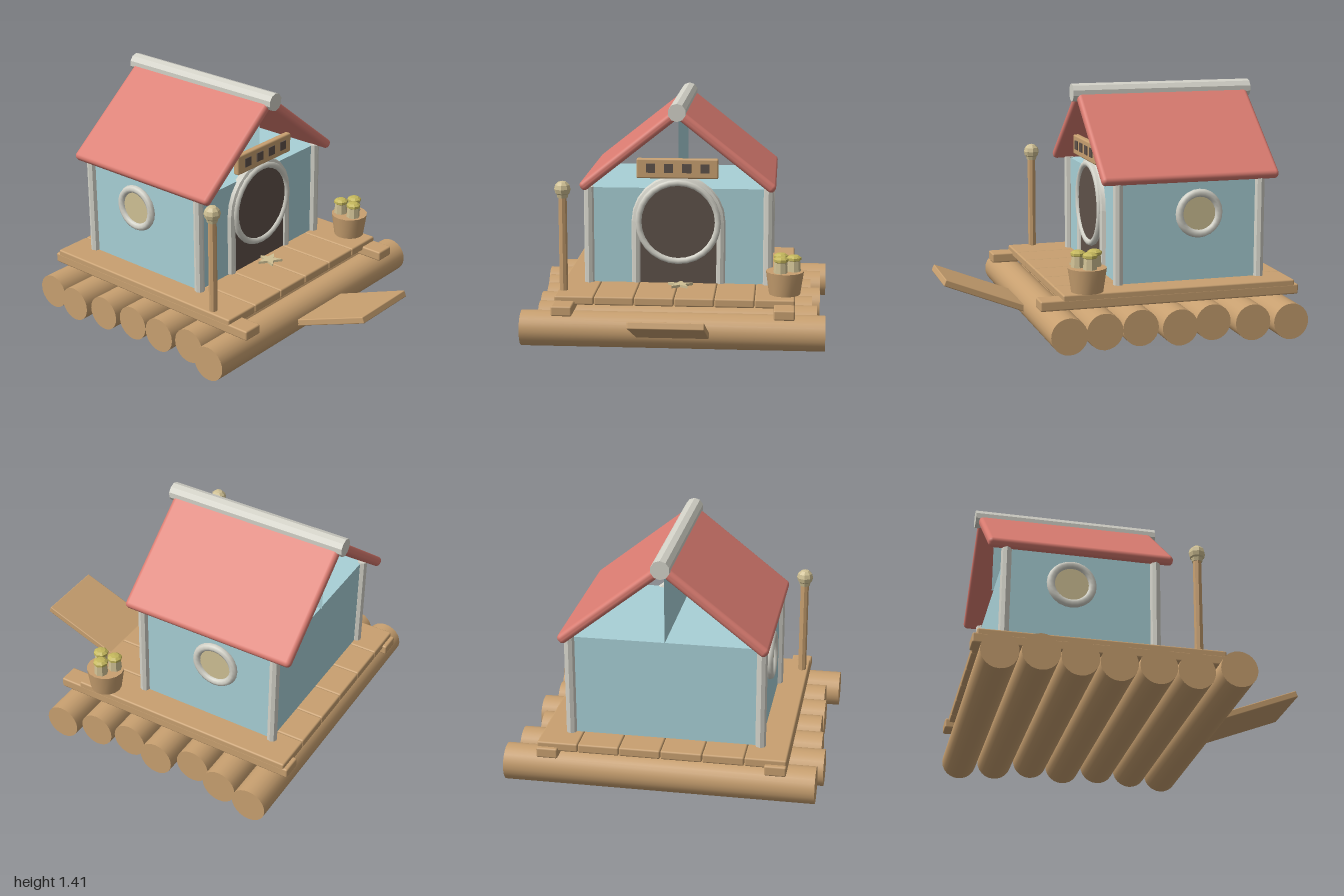
import * as THREE from 'three';
import { toCreasedNormals } from 'three/addons/utils/BufferGeometryUtils.js';
import { RoundedBoxGeometry } from 'three/addons/geometries/RoundedBoxGeometry.js';

export function createModel() {
  const root = new THREE.Group();
  root.name = 'raftHouse';

  const mat = (name, color, extra = {}) => {
    const m = new THREE.MeshStandardMaterial({ color, ...extra });
    m.name = name;
    return m;
  };
  const wood = mat('wood', 0xc8a070);
  const wall = mat('wallBlue', 0xa8d0d6);
  const gable = mat('gableBlue', 0xa8d0d6, { side: THREE.DoubleSide });
  const red = mat('roofRed', 0xd97b70);
  const trim = mat('trimGrey', 0xd3d2c8);
  const dark = mat('doorBrown', 0x5e5149);
  const cream = mat('cream', 0xcfc094);
  const yellow = mat('flowerYellow', 0xc4b75c);

  const add = (name, geo, material, x, y, z, parent = root) => {
    const m = new THREE.Mesh(geo, material);
    m.name = name;
    m.position.set(x, y, z);
    parent.add(m);
    return m;
  };
  const facet = (geo) => toCreasedNormals(geo, 0.3);
  const rbox = (w, h, d, r = 0.01) => new RoundedBoxGeometry(w, h, d, 2, r);
  const cyl = (rt, rb, h, n) => toCreasedNormals(new THREE.CylinderGeometry(rt, rb, h, n), n > 12 ? 0.6 : 0.3);
  const CX = -0.007;

  // Floating logs of uneven length: [left end, right end], front to back
  const logs = [[-0.905, 0.875], [-0.83, 0.83], [-0.85, 0.805], [-0.845, 0.855],
    [-0.87, 0.80], [-0.90, 0.865], [-0.87, 0.905]];
  logs.forEach(([a, b], i) => {
    const log = add('log', cyl(0.105, 0.105, b - a, 24), wood, (a + b) / 2, 0.105, 0.43 - i * 0.2165);
    log.rotation.z = Math.PI / 2;
  });

  // Cross beams and deck planks
  for (const s of [-1, 1]) add('crossBeam', rbox(0.122, 0.06, 1.55), wood, CX + s * 0.645, 0.238, -0.225);
  for (let i = 0; i < 6; i++) {
    add('deckPlank', rbox(0.233, 0.052, 1.395), wood, CX + (i - 2.5) * 0.2355, 0.27, -0.278);
  }

  // Raised gangplank
  const plank = add('gangplank', rbox(0.425, 0.04, 0.52, 0.006), wood, CX, 0.197, 0.757);
  plank.rotation.x = -0.375;

  // House body, corner posts and the panel under the ridge
  add('houseBody', new THREE.BoxGeometry(1.084, 0.585, 0.86), wall, CX, 0.5875, -0.38);
  for (const x of [-0.542, 0.542]) {
    for (const z of [0.053, -0.812]) add('cornerPost', cyl(0.03, 0.03, 0.59, 8), trim, CX + x, 0.59, z);
  }
  const panel = add('ridgePanel', new THREE.PlaneGeometry(0.88, 0.45), gable, CX, 1.105, -0.38);
  panel.rotation.y = Math.PI / 2;

  // Roof slabs and ridge pole
  for (const s of [-1, 1]) {
    const slab = add('roofSlab', new RoundedBoxGeometry(0.735, 0.058, 1.075, 3, 0.025), red,
      CX + s * 0.29, 1.117, -0.3825);
    slab.rotation.z = -s * 0.67;
  }
  const ridge = add('ridgePole', cyl(0.054, 0.054, 1.12, 10), trim, CX, 1.352, -0.38);
  ridge.rotation.x = Math.PI / 2;

  // Doorway: arched dark panel, arch frame, legs and round door with ring
  const door = new THREE.Group();
  door.name = 'door';
  door.position.set(CX, 0.678, 0.05);
  root.add(door);
  const arch = new THREE.Shape();
  arch.moveTo(-0.245, -0.38);
  arch.lineTo(0.245, -0.38);
  arch.lineTo(0.245, 0);
  arch.absarc(0, 0, 0.245, 0, Math.PI, false);
  arch.closePath();
  add('doorRecess', new THREE.ExtrudeGeometry(arch, { depth: 0.02, bevelEnabled: false }), dark, 0, 0, -0.01, door);
  add('archFrame', facet(new THREE.TorusGeometry(0.255, 0.029, 8, 12, Math.PI)), trim, 0, 0, 0, door);
  for (const s of [-1, 1]) add('frameLeg', cyl(0.029, 0.029, 0.378, 8), trim, s * 0.255, -0.189, 0, door);
  const leaf = add('roundDoor', cyl(0.235, 0.235, 0.03, 28), dark, 0, 0, 0.012, door);
  leaf.rotation.x = Math.PI / 2;
  add('doorRing', new THREE.TorusGeometry(0.24, 0.02, 8, 28), trim, 0, 0, 0.024, door);

  // Sign board with four dark squares
  add('signBoard', rbox(0.49, 0.12, 0.04), wood, CX - 0.003, 1.007, 0.085);
  for (let i = 0; i < 4; i++) {
    add('signSquare', new THREE.BoxGeometry(0.054, 0.054, 0.008), dark, CX + (i - 1.5) * 0.108, 1.01, 0.107);
  }

  // Round side windows
  for (const s of [-1, 1]) {
    const win = new THREE.Group();
    win.name = 'sideWindow';
    win.position.set(CX + s * 0.545, 0.69, -0.435);
    win.rotation.y = s * Math.PI / 2;
    root.add(win);
    add('windowRing', new THREE.TorusGeometry(0.12, 0.024, 8, 24), trim, 0, 0, 0.006, win);
    const glass = add('windowGlass', cyl(0.115, 0.115, 0.02, 24), cream, 0, 0, 0, win);
    glass.rotation.x = Math.PI / 2;
  }

  // Lamp post
  add('lampPole', cyl(0.025, 0.025, 0.57, 8), wood, -0.675, 0.58, 0.27);
  add('lampCollar', cyl(0.036, 0.03, 0.025, 8), cream, -0.675, 0.868, 0.27);
  add('lampKnob', facet(new THREE.SphereGeometry(0.049, 8, 6)), cream, -0.675, 0.908, 0.27);

  // Flower pot with three blooms
  add('flowerPot', cyl(0.112, 0.092, 0.138, 16), wood, 0.638, 0.366, 0.265);
  for (const [x, z] of [[0.613, 0.215], [0.69, 0.262], [0.613, 0.312]]) {
    add('flowerStem', cyl(0.036, 0.042, 0.075, 8), cream, x, 0.467, z);
    const bloom = add('flower', facet(new THREE.SphereGeometry(0.046, 8, 5)), yellow, x, 0.51, z);
    bloom.scale.y = 0.5;
  }

  // Starfish on the deck
  const star = new THREE.Shape();
  for (let i = 0; i < 10; i++) {
    const r = i % 2 ? 0.032 : 0.08, a = i * Math.PI / 5 + Math.PI / 2;
    star[i ? 'lineTo' : 'moveTo'](r * Math.cos(a), r * Math.sin(a));
  }
  star.closePath();
  const fish = add('starfish', new THREE.ExtrudeGeometry(star, { depth: 0.016, bevelEnabled: false }), cream,
    0.01, 0.295, 0.125);
  fish.rotation.x = -Math.PI / 2;

  return root;
}
